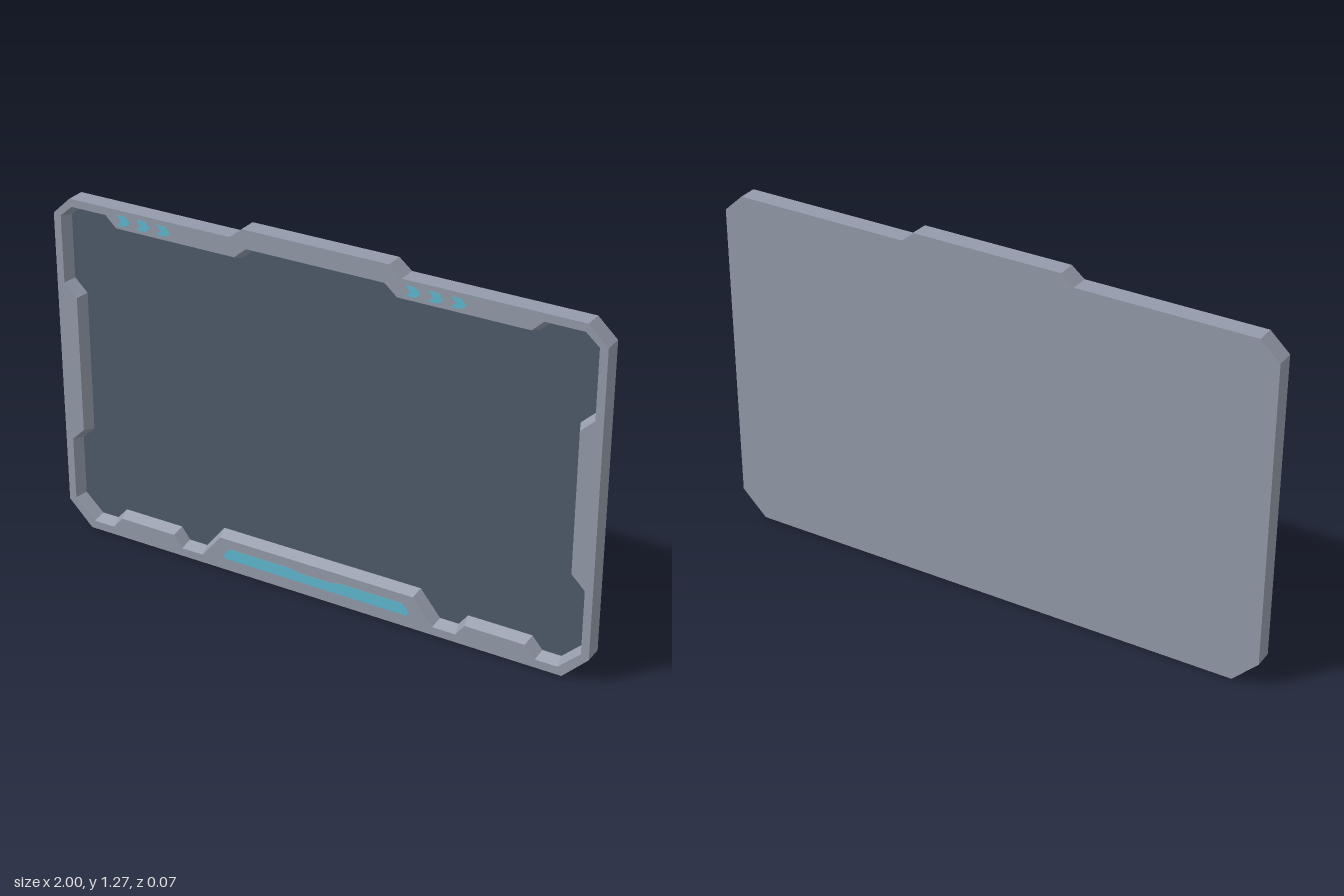
import * as THREE from 'three';

const FRONT = 0.033, BACK = -0.033, SCREEN = -0.007;

// Right halves, bottom to top; mirrored into full counter-clockwise rings
const OUTER = [[0.91, 0], [1, 0.09], [1, 1.175], [0.932, 1.238], [0.31, 1.238], [0.265, 1.275]];
const LIP = [
  [0.372, 0.12], [0.445, 0.03], [0.53, 0.03], [0.562, 0.073], [0.778, 0.073], [0.815, 0.03],
  [0.895, 0.03], [0.972, 0.103], [0.972, 0.335], [0.924, 0.382], [0.924, 0.882], [0.972, 0.928],
  [0.972, 1.17], [0.925, 1.21], [0.79, 1.21], [0.75, 1.172], [0.295, 1.172], [0.25, 1.21],
];

function mirrorRing(half) {
  const pts = half.map(([x, y]) => new THREE.Vector2(x, y));
  return [...pts, ...pts.map(p => new THREE.Vector2(-p.x, p.y)).reverse()];
}

// Move every edge of a counter-clockwise ring inward by d
function inset(ring, d) {
  const n = ring.length;
  return ring.map((p, i) => {
    const a = p.clone().sub(ring[(i + n - 1) % n]).normalize();
    const b = ring[(i + 1) % n].clone().sub(p).normalize();
    const na = new THREE.Vector2(-a.y, a.x), nb = new THREE.Vector2(-b.y, b.x);
    return p.clone().addScaledVector(na.clone().add(nb), d / (1 + na.dot(nb)));
  });
}

// Flat-sided wall between two rings at different depths
function wall(a, za, b, zb) {
  const pos = [];
  a.forEach((p, i) => {
    const j = (i + 1) % a.length, q = a[j], r = b[j], s = b[i];
    pos.push(p.x, p.y, za, q.x, q.y, za, r.x, r.y, zb);
    pos.push(p.x, p.y, za, r.x, r.y, zb, s.x, s.y, zb);
  });
  const g = new THREE.BufferGeometry();
  g.setAttribute('position', new THREE.Float32BufferAttribute(pos, 3));
  g.computeVertexNormals();
  return g;
}

export function createModel() {
  const group = new THREE.Group();
  const material = (name, color) => {
    const m = new THREE.MeshStandardMaterial({ color });
    m.name = name;
    return m;
  };
  const metal = material('frame grey', 0x949baa);
  const glass = material('screen slate', 0x4f5b6b);
  const glow = material('light cyan', 0x60bad2);

  const add = (name, geometry, mat, z = 0) => {
    const mesh = new THREE.Mesh(geometry, mat);
    mesh.name = name;
    mesh.position.z = z;
    group.add(mesh);
    return mesh;
  };

  const outer = mirrorRing(OUTER), lip = mirrorRing(LIP), inner = inset(lip, 0.016);

  // Frame: front face with opening, outer sides, sloped recess and back
  const face = new THREE.Shape(outer);
  face.holes.push(new THREE.Path(lip));
  add('frameFront', new THREE.ShapeGeometry(face), metal, FRONT);
  add('frameSides', wall(outer, BACK, outer, FRONT), metal);
  add('recessWall', wall(lip, FRONT, inner, SCREEN), metal);
  add('backPanel', new THREE.ShapeGeometry(new THREE.Shape(outer)).rotateY(Math.PI), metal, BACK);

  // Screen
  add('screen', new THREE.ShapeGeometry(new THREE.Shape(inner)), glass, SCREEN);

  // Thin glowing plates on the frame
  const plate = pts => new THREE.ExtrudeGeometry(new THREE.Shape(pts), { depth: 0.002, bevelEnabled: false });
  add('bottomLight', plate(mirrorRing([
    [0.352, 0.043], [0.358, 0.058], [0.335, 0.085], [0.1, 0.085], [0.06, 0.077],
  ])), glow, FRONT - 0.001);

  const chevron = [[0, 0.035], [0.016, 0.016], [0, 0], [0.034, 0], [0.052, 0.016], [0.034, 0.035]]
    .map(([x, y]) => new THREE.Vector2(x, y));
  for (const start of [-0.745, 0.325]) {
    for (let i = 0; i < 3; i++) {
      const mark = add('chevronLight', plate(chevron), glow, FRONT - 0.001);
      mark.position.x = start + i * 0.078;
      mark.position.y = 1.185;
    }
  }
  return group;
}
